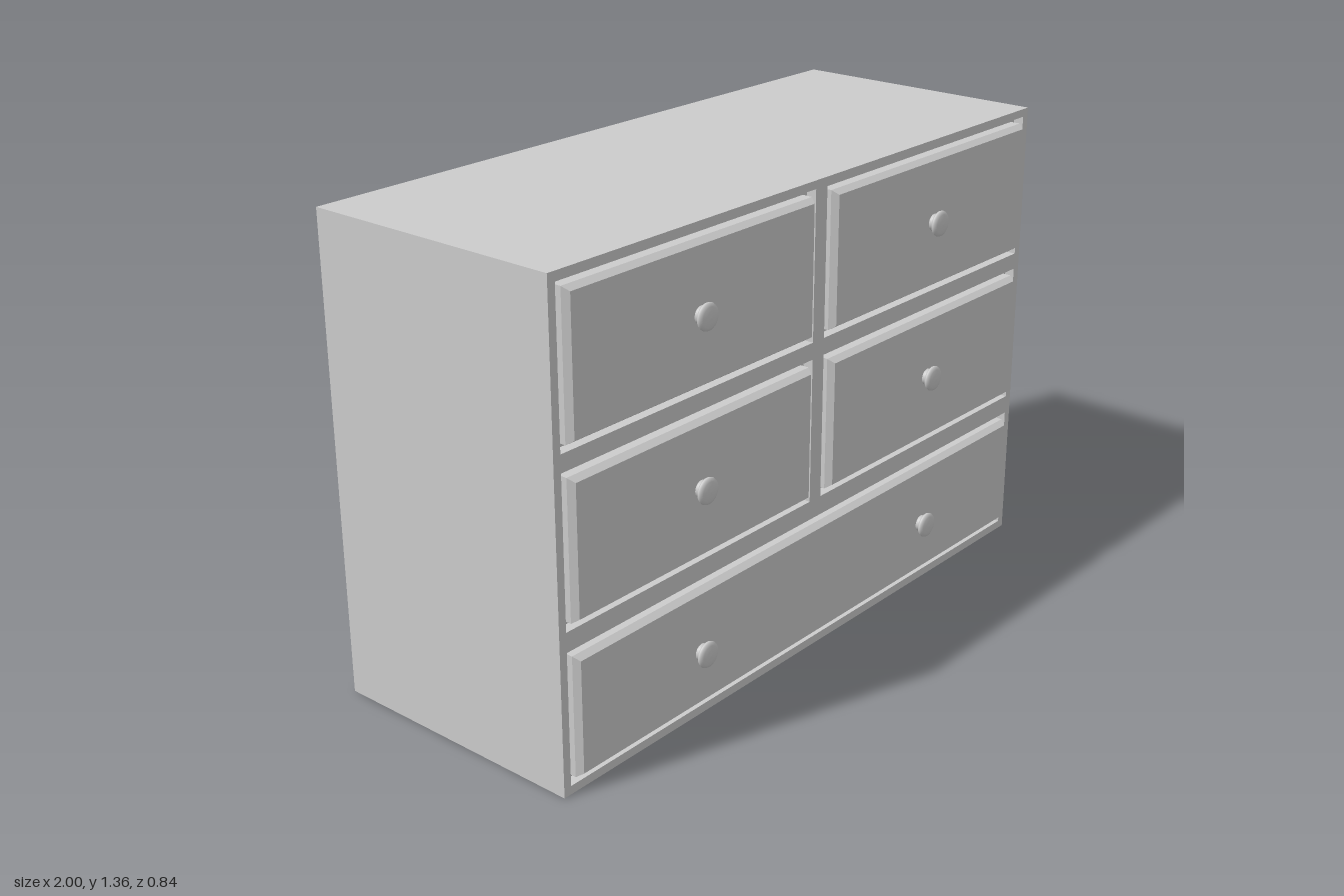
import * as THREE from 'three';

const W = 2, H = 1.36, BACK = -0.42, FLOOR = 0.34, FRONT = 0.37, FACE = 0.388;
const GAP = 0.017, BEVEL = 0.012;

// Drawer openings: [left, right, bottom, top]
const rows = [[0.917, 1.337], [0.453, 0.869]];
const openings = [[-0.976, 0.976, 0.024, 0.398]];
for (const [b, t] of rows) openings.push([-0.976, -0.024, b, t], [0.024, 0.976, b, t]);

function rect(Type, l, r, b, t) {
  const p = new Type();
  p.moveTo(l, b);
  p.lineTo(r, b);
  p.lineTo(r, t);
  p.lineTo(l, t);
  p.closePath();
  return p;
}

// Drawer front: straight sides, then a chamfer up to the face
function drawerGeometry(w, h) {
  const depth = FACE - FLOOR;
  const g = new THREE.BoxGeometry(w, h, depth, 1, 1, 2).toNonIndexed();
  const p = g.attributes.position;
  for (let i = 0; i < p.count; i++) {
    const z = p.getZ(i);
    if (Math.abs(z) < 1e-6) p.setZ(i, FRONT - FLOOR - depth / 2);
    if (z > 0.001) {
      p.setX(i, p.getX(i) - Math.sign(p.getX(i)) * BEVEL);
      p.setY(i, p.getY(i) - Math.sign(p.getY(i)) * BEVEL);
    }
  }
  g.computeVertexNormals();
  return g;
}

export function createModel() {
  const model = new THREE.Group();
  model.name = 'chestOfDrawers';
  const flat = new THREE.MeshStandardMaterial({ color: 0xcccccc, flatShading: true });
  const smooth = new THREE.MeshStandardMaterial({ color: 0xcccccc, side: THREE.DoubleSide });

  const add = (name, geometry, material, x, y, z) => {
    const mesh = new THREE.Mesh(geometry, material);
    mesh.name = name;
    mesh.position.set(x, y, z);
    model.add(mesh);
    return mesh;
  };

  // Cabinet body
  add('cabinet', new THREE.BoxGeometry(W, H, FLOOR - BACK), flat, 0, H / 2, (FLOOR + BACK) / 2);

  // Front frame with an opening for each drawer
  const frame = rect(THREE.Shape, -W / 2, W / 2, 0, H);
  for (const o of openings) frame.holes.push(rect(THREE.Path, ...o));
  add('frontFrame', new THREE.ExtrudeGeometry(frame, { depth: FRONT - FLOOR, bevelEnabled: false }), flat, 0, 0, FLOOR);

  // Drawer fronts
  for (const [l, r, b, t] of openings) {
    add('drawerFront', drawerGeometry(r - l - 2 * GAP, t - b - 2 * GAP), flat,
      (l + r) / 2, (b + t) / 2, (FACE + FLOOR) / 2);
  }

  // Round knobs with a short neck
  const profile = [[0.025, -0.002], [0.022, 0.006], [0.024, 0.012], [0.035, 0.016], [0.037, 0.021],
    [0.035, 0.026], [0.027, 0.030], [0.014, 0.032], [0, 0.033]].map(([x, y]) => new THREE.Vector2(x, y));
  const knob = new THREE.LatheGeometry(profile, 32);
  knob.rotateX(Math.PI / 2);
  for (const y of [0.2, 0.667, 1.13]) {
    for (const x of [-0.5, 0.5]) add('knob', knob, smooth, x, y, FACE);
  }
  return model;
}
